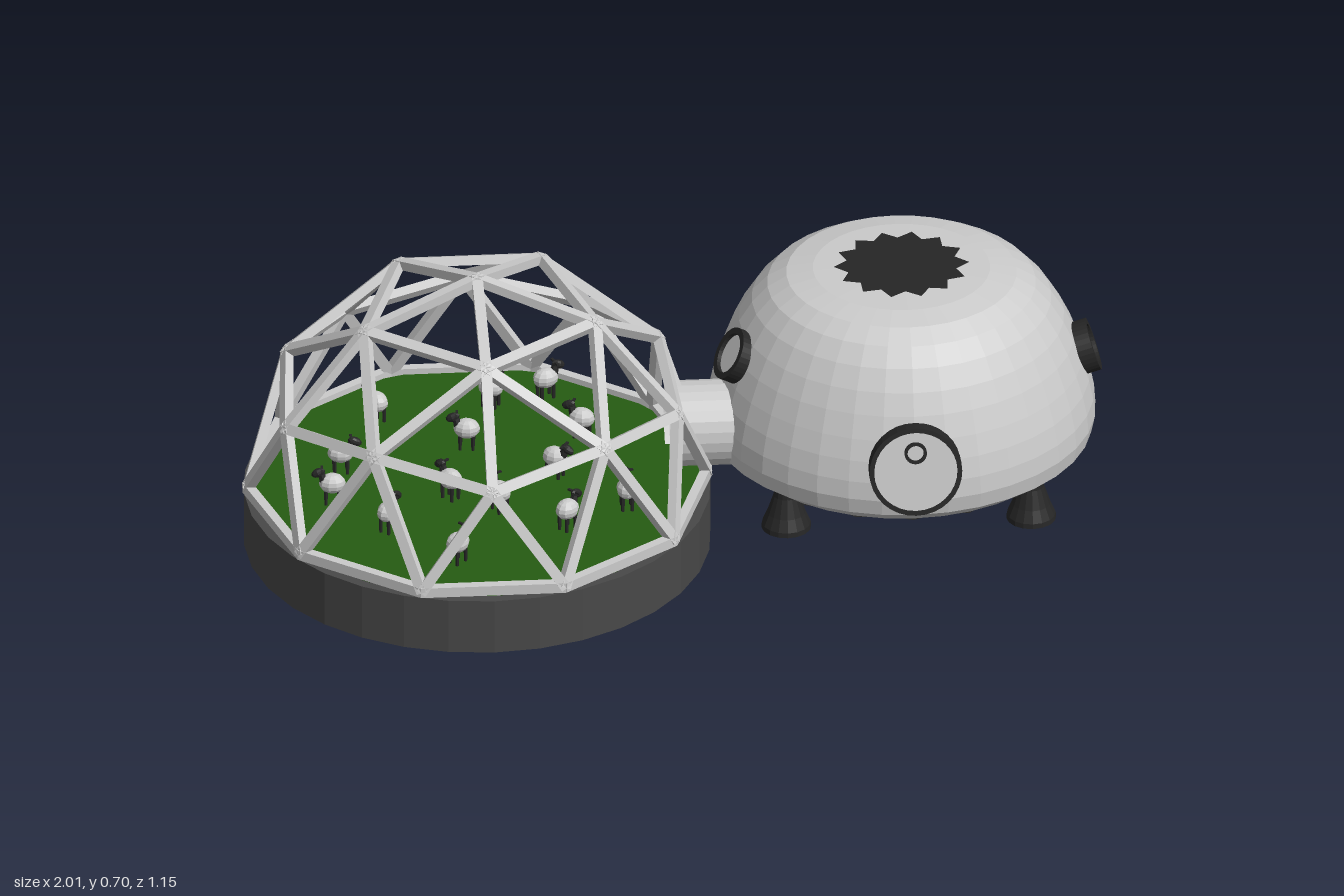
import * as THREE from 'three';

const mat = (color) => new THREE.MeshStandardMaterial({ color, flatShading: true, side: THREE.DoubleSide });
const GREY = mat(0xcccccc), DARK = mat(0x262626), BASE = mat(0x484848), GRASS = mat(0x265c12);
const V = (x, y, z) => new THREE.Vector3(x, y, z);

function add(parent, name, geometry, material, x = 0, y = 0, z = 0) {
  const mesh = new THREE.Mesh(geometry, material);
  mesh.name = name;
  mesh.position.set(x, y, z);
  parent.add(mesh);
  return mesh;
}

function group(parent, name, x = 0, y = 0, z = 0) {
  const g = new THREE.Group();
  g.name = name;
  g.position.set(x, y, z);
  parent.add(g);
  return g;
}

// Flat ring facing +z, centred on its depth
function ring(outer, inner, depth) {
  const s = new THREE.Shape().absarc(0, 0, outer, 0, Math.PI * 2);
  s.holes.push(new THREE.Path().absarc(0, 0, inner, 0, Math.PI * 2, true));
  return new THREE.ExtrudeGeometry(s, { depth, bevelEnabled: false, curveSegments: 16 }).translate(0, 0, -depth / 2);
}

const disc = (r, depth) => new THREE.CylinderGeometry(r, r, depth, 24).rotateX(Math.PI / 2);

function star(outer, inner, points) {
  const pts = [];
  for (let i = 0; i < points * 2; i++) {
    const a = (i / points) * Math.PI, r = i % 2 ? inner : outer;
    pts.push(new THREE.Vector2(r * Math.cos(a), r * Math.sin(a)));
  }
  return new THREE.ShapeGeometry(new THREE.Shape(pts)).rotateX(-Math.PI / 2);
}

// Two-frequency geodesic half sphere: rings of nodes joined to near neighbours
function buildDome(parent) {
  const R = 0.535, dome = group(parent, 'domeFrame', -0.457, 0.152, 0.03);
  const nodes = [V(0, R, 0)];
  const addRing = (count, polar, offset) => {
    for (let i = 0; i < count; i++) {
      nodes.push(new THREE.Vector3().setFromSphericalCoords(R, polar, offset + (i / count) * Math.PI * 2));
    }
  };
  addRing(5, 0.5536, 0);
  addRing(5, 1.1071, 0);
  addRing(5, 1.0172, Math.PI / 5);
  addRing(10, Math.PI / 2, Math.PI / 10);
  nodes.forEach((a, i) => nodes.slice(i + 1).forEach((b) => {
    const len = a.distanceTo(b);
    if (len > R * 0.7) return;
    const strut = add(dome, 'strut', new THREE.BoxGeometry(0.025, 0.022, len + 0.008), GREY);
    strut.position.copy(a).add(b).multiplyScalar(0.5);
    const along = b.clone().sub(a).normalize();
    const out = strut.position.clone().normalize();
    const side = out.clone().cross(along).normalize();
    strut.quaternion.setFromRotationMatrix(new THREE.Matrix4().makeBasis(side, out, along));
  }));
}

// Small grazing animal, facing +x before turning
function buildSheep(parent, x, z, heading) {
  const sheep = group(parent, 'sheep', x, 0.15, z);
  sheep.rotation.y = heading;
  add(sheep, 'fleece', new THREE.SphereGeometry(0.026, 10, 8).scale(1.2, 0.95, 0.95), GREY, 0, 0.052, 0);
  const head = add(sheep, 'head', new THREE.SphereGeometry(0.012, 8, 6).scale(1.45, 0.9, 0.85), DARK, 0.033, 0.08, 0);
  head.rotation.z = -0.45;
  add(sheep, 'neck', new THREE.CylinderGeometry(0.007, 0.011, 0.026, 6), DARK, 0.024, 0.072, 0).rotation.z = -0.3;
  for (const s of [-1, 1]) {
    add(sheep, 'ear', new THREE.BoxGeometry(0.006, 0.004, 0.012), DARK, 0.024, 0.088, s * 0.011);
    for (const e of [-1, 1]) {
      add(sheep, 'sheepLeg', new THREE.CylinderGeometry(0.005, 0.004, 0.036, 6), DARK, e * 0.015, 0.018, s * 0.011);
    }
  }
}

function buildWindow(parent, pos, normal) {
  const w = group(parent, 'window', pos.x, pos.y, pos.z);
  add(w, 'windowFrame', ring(0.063, 0.048, 0.05), DARK);
  add(w, 'windowPane', disc(0.05, 0.03), GREY);
  w.lookAt(pos.clone().add(normal));
}

function buildPod(parent) {
  const cx = 0.543, cz = -0.135;
  const pod = group(parent, 'pod', cx, 0, cz);
  pod.scale.x = 1.03;
  const profile = [[0.28, 0.097], [0.38, 0.127], [0.43, 0.165], [0.438, 0.205], [0.435, 0.25], [0.425, 0.3],
    [0.41, 0.35], [0.39, 0.405], [0.367, 0.455], [0.338, 0.503], [0.303, 0.543], [0.26, 0.57], [0.2, 0.582],
    [0.1, 0.585], [0, 0.586]].map((p) => new THREE.Vector2(...p));
  add(pod, 'shell', new THREE.LatheGeometry(profile, 36), GREY);
  add(pod, 'roofHatch', star(0.153, 0.125, 14), DARK, 0, 0.589, 0);

  // Underside bowl with a zigzag rim
  const under = new THREE.LatheGeometry([[0, 0.073], [0.15, 0.078], [0.28, 0.092], [0.375, 0.12]]
    .map((p) => new THREE.Vector2(...p)), 36);
  const p = under.attributes.position;
  for (let i = 0; i < p.count; i++) {
    if (i % 4 === 3 && Math.floor(i / 4) % 2) p.setXYZ(i, p.getX(i) * 0.9, 0.109, p.getZ(i) * 0.9);
  }
  under.computeVertexNormals();
  add(pod, 'underside', under, DARK);

  // Four flared feet
  const foot = new THREE.LatheGeometry([[0, 0], [0.058, 0], [0.057, 0.012], [0.045, 0.04], [0.03, 0.085], [0.027, 0.11]]
    .map((q) => new THREE.Vector2(...q)), 16);
  for (const sx of [-1, 1]) for (const sz of [-1, 1]) {
    add(parent, 'foot', foot, DARK, cx + sx * 0.285, 0.03, cz + 0.012 + sz * 0.213);
  }

  // Portholes
  buildWindow(parent, V(0.965, 0.36, -0.118), V(1, 0.32, 0));
  buildWindow(parent, V(0.543, 0.36, -0.535), V(0, 0.32, -1));
  buildWindow(parent, V(0.155, 0.408, -0.05), V(-1, 0.6, 0.2));

  // Round door with a spyhole
  const door = group(parent, 'door', 0.543, 0.287, 0.29);
  add(door, 'doorFrame', ring(0.108, 0.097, 0.05), DARK);
  add(door, 'doorPanel', disc(0.099, 0.044), GREY);
  add(door, 'spyholeRim', ring(0.026, 0.019, 0.014), DARK, 0, 0.047, 0.022);
  door.rotation.x = -0.17;
}

export function createModel() {
  const model = new THREE.Group();
  model.name = 'domeAndPod';

  // Round base with grass
  add(model, 'base', new THREE.CylinderGeometry(0.543, 0.543, 0.137, 32), BASE, -0.457, 0.0685, 0.03);
  add(model, 'grass', new THREE.CylinderGeometry(0.518, 0.518, 0.02, 32), GRASS, -0.457, 0.14, 0.03);
  buildDome(model);

  // x, z, heading
  [[-0.27, -0.34, 0.4], [-0.4, -0.31, -0.5], [-0.67, -0.26, 2.2], [-0.47, -0.12, 3], [-0.2, -0.15, 2.7],
    [-0.77, -0.03, 0], [-0.8, 0.11, 3.1], [-0.525, 0.11, 2.3], [-0.275, 0.025, -0.6], [-0.415, 0.175, 2],
    [-0.12, 0.185, 1.6], [-0.68, 0.25, 0.9], [-0.265, 0.27, 0.8], [-0.53, 0.405, 0.8],
  ].forEach((s) => buildSheep(model, ...s));

  // Tunnel from dome to pod
  add(model, 'tunnel', new THREE.CylinderGeometry(0.1, 0.1, 0.19, 24, 1, true).rotateZ(Math.PI / 2), GREY, 0.085, 0.235, -0.05);
  buildPod(model);
  return model;
}
